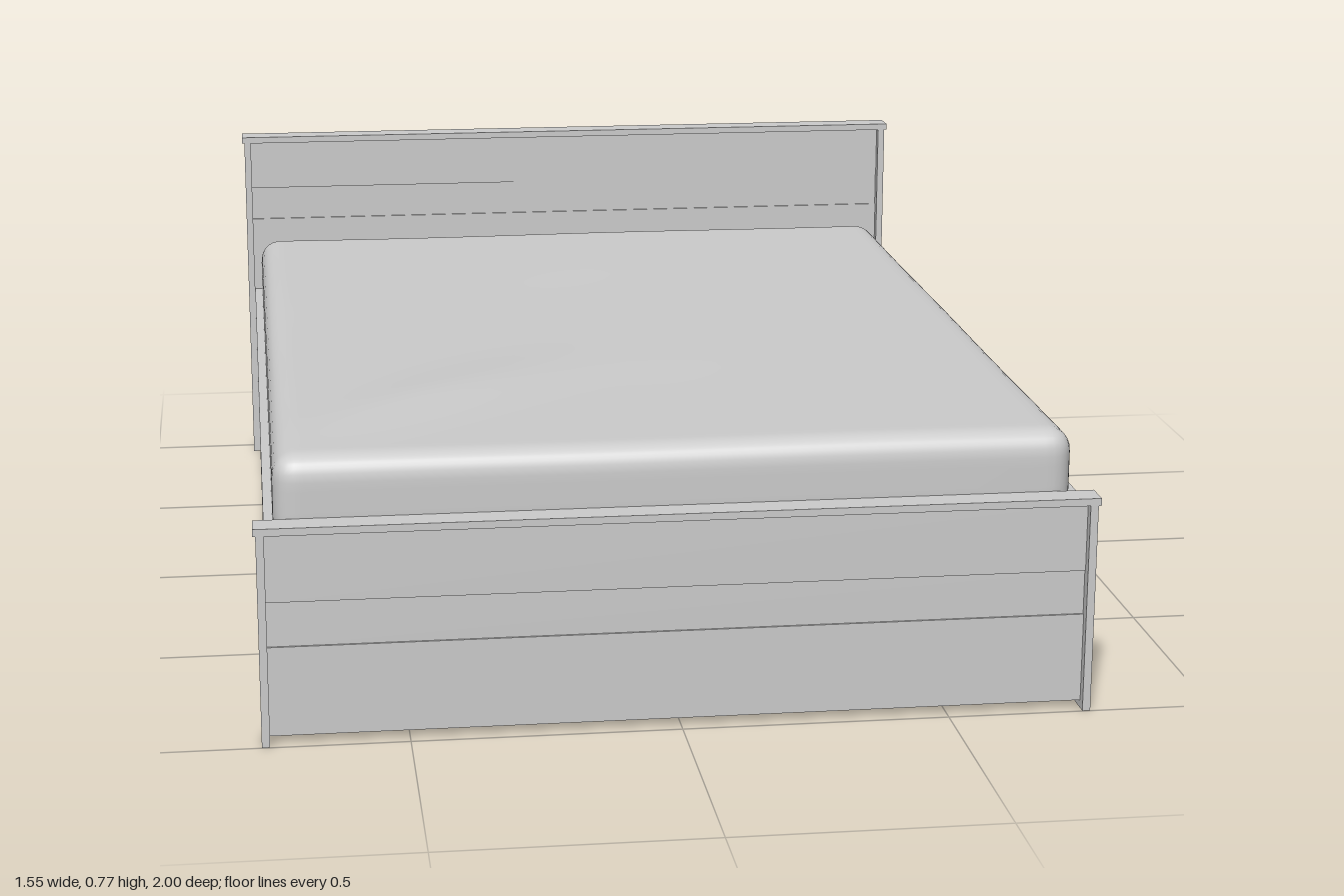
import * as THREE from 'three';
import { mergeVertices } from 'three/addons/utils/BufferGeometryUtils.js';

export function createModel() {
  const bed = new THREE.Group();
  bed.name = 'bed';
  const grey = new THREE.MeshStandardMaterial({ color: 0xcccccc });
  grey.name = 'plain grey';

  function add(parent, name, geometry) {
    const mesh = new THREE.Mesh(geometry, grey);
    mesh.name = name;
    parent.add(mesh);
    return mesh;
  }

  // Box given by its lower and upper limits on each axis
  function box(parent, name, x0, x1, y0, y1, z0, z1) {
    const mesh = add(parent, name, new THREE.BoxGeometry(x1 - x0, y1 - y0, z1 - z0));
    mesh.position.set((x0 + x1) / 2, (y0 + y1) / 2, (z0 + z1) / 2);
  }

  // Head and foot boards: posts, cap and three boards with a recessed middle one
  function endBoard(name, zBack, top, panelBottom, panelBack, panelFront, slatLow, slatHigh) {
    const board = new THREE.Group();
    board.name = name;
    board.position.z = zBack;
    bed.add(board);
    for (const s of [-1, 1]) {
      const a = s * 0.755, b = s * 0.77;
      box(board, 'post', Math.min(a, b), Math.max(a, b), 0, top - 0.014, 0.001, 0.054);
    }
    box(board, 'cap', -0.775, 0.775, top - 0.014, top, 0, 0.055);
    box(board, 'lowerBoard', -0.755, 0.755, panelBottom, slatLow, panelBack, panelFront);
    box(board, 'middleBoard', -0.755, 0.755, slatLow, slatHigh, panelBack, panelFront - 0.004);
    box(board, 'upperBoard', -0.755, 0.755, slatHigh, top - 0.014, panelBack, panelFront);
  }
  endBoard('headboard', -1, 0.77, 0.008, 0.001, 0.036, 0.57, 0.645);
  endBoard('footboard', 0.945, 0.415, 0.015, 0.001, 0.036, 0.185, 0.27);

  // Storage base: side rails around a closed box
  for (const s of [-1, 1]) {
    const a = s * 0.738, b = s * 0.755;
    box(bed, 'sideRail', Math.min(a, b), Math.max(a, b), 0.015, 0.4, -0.965, 0.947);
  }
  box(bed, 'baseBox', -0.738, 0.738, 0.015, 0.385, -0.965, 0.947);

  // Small feet around the edge of the base
  function foot(x, z) {
    const mesh = add(bed, 'foot', new THREE.CylinderGeometry(0.006, 0.006, 0.016, 12));
    mesh.position.set(x, 0.008, z);
  }
  for (const z of [-0.82, -0.41, 0, 0.41, 0.82]) {
    foot(-0.745, z);
    foot(0.745, z);
  }
  for (const x of [-0.745, -0.65, -0.33, 0, 0.33, 0.65, 0.745]) {
    foot(x, 0.935);
    foot(x, -0.94);
  }

  // Mattress: a box rounded by rule, with soft folds on its top
  const half = new THREE.Vector3(0.738, 0.085, 0.943);
  const radius = 0.045;
  let geometry = new THREE.BoxGeometry(2, 2, 2, 48, 14, 56);
  geometry.deleteAttribute('uv');
  geometry.deleteAttribute('normal');
  geometry = mergeVertices(geometry);
  const pos = geometry.attributes.position;
  const inner = half.clone().subScalar(radius);
  const negInner = inner.clone().negate();
  const p = new THREE.Vector3();
  const core = new THREE.Vector3();
  for (let i = 0; i < pos.count; i++) {
    p.fromBufferAttribute(pos, i);
    // crowd the grid towards the edges so the rounding is smooth
    p.set(Math.sin(p.x * Math.PI / 2), Math.sin(p.y * Math.PI / 2), Math.sin(p.z * Math.PI / 2));
    p.multiply(half);
    core.copy(p).clamp(negInner, inner);
    p.sub(core).setLength(radius).add(core);
    if (p.y > 0) {
      const along = ((p.x + 0.4) - (p.z - 0.52)) * Math.SQRT1_2;
      const across = ((p.x + 0.4) + (p.z - 0.52)) * Math.SQRT1_2;
      const ridge = 0.012 * Math.exp(-((along / 0.3) ** 2) - (across / 0.1) ** 2);
      const ripple = 0.0015 * Math.sin(5 * p.x + 3 * p.z) * Math.cos(4 * p.z - 2 * p.x);
      p.y += (ridge + ripple) * (p.y / half.y);
    }
    pos.setXYZ(i, p.x, p.y, p.z);
  }
  geometry.computeVertexNormals();
  add(bed, 'mattress', geometry).position.y = 0.443;

  return bed;
}
